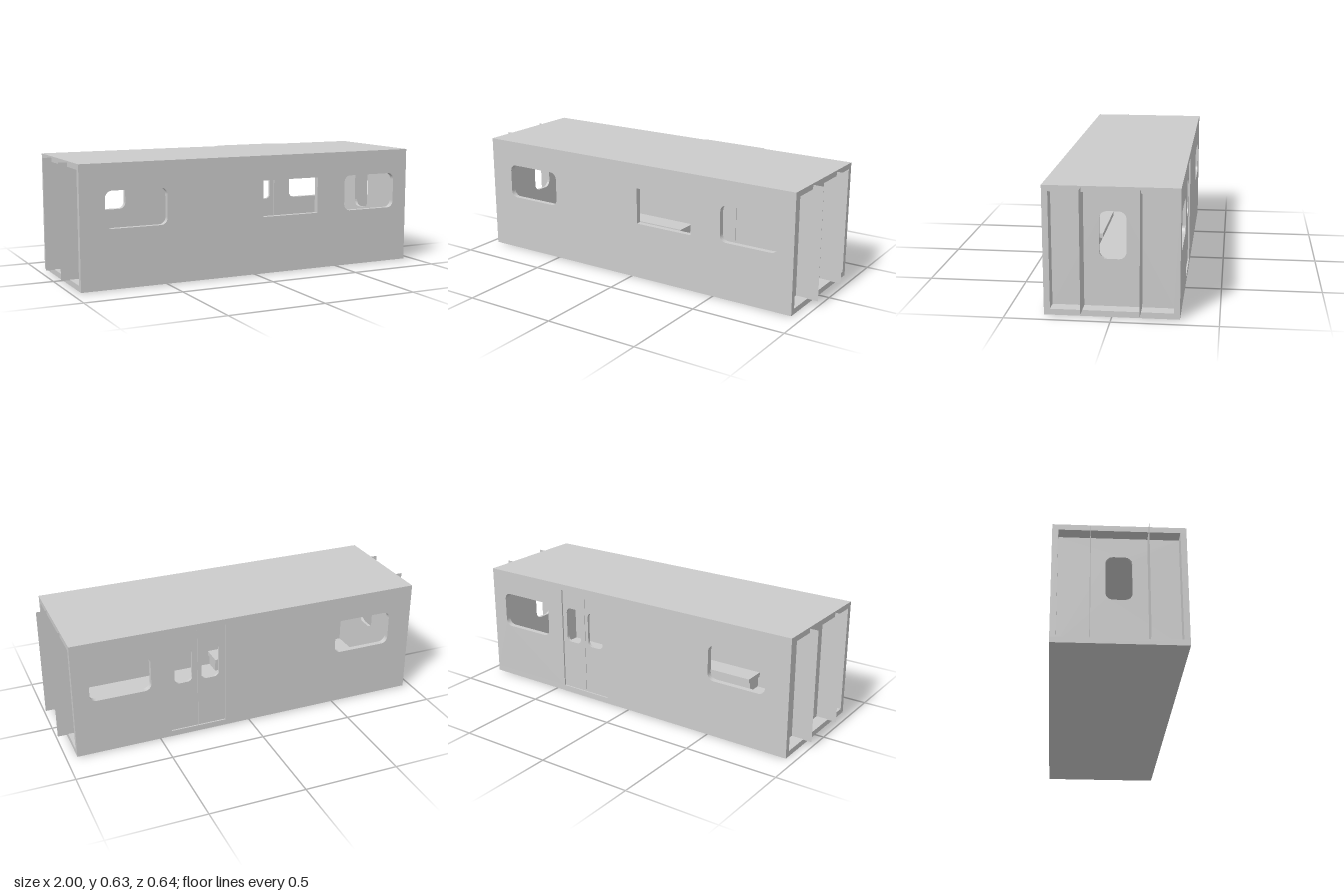
import * as THREE from 'three';

const material = new THREE.MeshStandardMaterial({ color: 0xcccccc, flatShading: true });
const thinMaterial = new THREE.MeshStandardMaterial({ color: 0xcccccc, side: THREE.DoubleSide });

// Body extents
const X0 = -0.955, X1 = 0.945, Y0 = 0.004, Y1 = 0.627, Z = 0.318, T = 0.029;

// Closed rounded rectangle between two corners (r = 0 gives square corners)
function rectPath(x0, y0, x1, y1, r = 0, PathType = THREE.Path) {
  const p = new PathType();
  p.moveTo(x0 + r, y0);
  p.lineTo(x1 - r, y0);
  if (r) p.absarc(x1 - r, y0 + r, r, -Math.PI / 2, 0);
  p.lineTo(x1, y1 - r);
  if (r) p.absarc(x1 - r, y1 - r, r, 0, Math.PI / 2);
  p.lineTo(x0 + r, y1);
  if (r) p.absarc(x0 + r, y1 - r, r, Math.PI / 2, Math.PI);
  p.lineTo(x0, y0 + r);
  if (r) p.absarc(x0 + r, y0 + r, r, Math.PI, Math.PI * 1.5);
  p.closePath();
  return p;
}

// Upright panel in the xy plane, with holes, from z to z + depth
function panel(name, rect, holes, z, depth, curveSegments = 4) {
  const shape = rectPath(...rect, 0, THREE.Shape);
  shape.holes = holes.map((h) => rectPath(...h));
  const geometry = new THREE.ExtrudeGeometry(shape, { depth, bevelEnabled: false, curveSegments });
  geometry.translate(0, 0, z);
  const mesh = new THREE.Mesh(geometry, material);
  mesh.name = name;
  return mesh;
}

function box(name, x0, x1, y0, y1, z0, z1) {
  const mesh = new THREE.Mesh(new THREE.BoxGeometry(x1 - x0, y1 - y0, z1 - z0), material);
  mesh.position.set((x0 + x1) / 2, (y0 + y1) / 2, (z0 + z1) / 2);
  mesh.name = name;
  return mesh;
}

export function createModel() {
  const group = new THREE.Group();
  group.name = 'carriage';

  // Roof and floor slabs
  group.add(box('roof', X0, X1, Y1 - T, Y1, -Z, Z));
  group.add(box('floor', X0, X1, Y0, Y0 + T, -Z, Z));

  // Side walls with window openings; the back one also has the doorway
  const wall = [X0, Y0 + T, X1, Y1 - T];
  const windows = [[-0.825, 0.305, -0.5, 0.492, 0.035], [0.54, 0.305, 0.86, 0.497, 0.035]];
  group.add(panel('frontWall', wall, [...windows, [0.04, 0.305, 0.37, 0.497]], Z - T, T));
  const door = { x0: 0.137, x1: 0.44, y0: Y0 + T + 0.002, y1: Y1 - T - 0.002 };
  group.add(panel('backWall', wall, [...windows, [door.x0, door.y0, door.x1, door.y1]], -Z, T));

  // Pair of slightly recessed door leaves, each with a window
  const middle = (door.x0 + door.x1) / 2;
  [[door.x0, middle - 0.001, 0.17, 0.268], [middle + 0.001, door.x1, 0.318, 0.414]].forEach(([a, b, w0, w1]) => {
    group.add(panel('doorLeaf', [a, door.y0, b, door.y1], [[w0, 0.305, w1, 0.497, 0.028]], -Z + 0.008, 0.014));
  });

  // Thin sloping guide plates above and below the doorway
  [[Y1, 1], [Y0, -1]].forEach(([y, s]) => {
    const plate = new THREE.Mesh(new THREE.PlaneGeometry(0.37, 0.268), thinMaterial);
    plate.rotation.x = -Math.PI / 2 + s * 0.011;
    plate.position.set(0.26, y + s * 0.002, -0.183);
    plate.name = 'doorGuide';
    group.add(plate);
  });

  // Recessed end walls with a portal, and thin fins standing out of both ends
  [[X1, 1], [X0, -1]].forEach(([edge, s]) => {
    const inner = edge - s * 0.065;
    const end = panel('endWall', [-Z + T, Y0 + T, Z - T, Y1 - T],
      [[-0.064, 0.265, 0.064, 0.495, 0.036]], -0.008, 0.016, 2);
    end.rotation.y = Math.PI / 2;
    end.position.x = inner - s * 0.008;
    group.add(end);
    for (const z of [-0.137, 0.137]) {
      const fin = new THREE.Mesh(new THREE.PlaneGeometry(Math.abs(s - inner), 0.59), thinMaterial);
      fin.position.set((s + inner) / 2, 0.325, z);
      fin.name = 'endFin';
      group.add(fin);
    }
  });

  // Low benches along both side walls
  for (const s of [-1, 1]) {
    const z0 = Math.min(s * 0.17, s * 0.289), z1 = Math.max(s * 0.17, s * 0.289);
    group.add(box('benchSeat', -0.46, 0, 0.095, 0.12, z0, z1));
    group.add(box('benchBase', -0.45, -0.01, Y0 + T, 0.095, z0 + (s < 0 ? 0 : 0.03), z1 - (s < 0 ? 0.03 : 0)));
  }

  return group;
}
